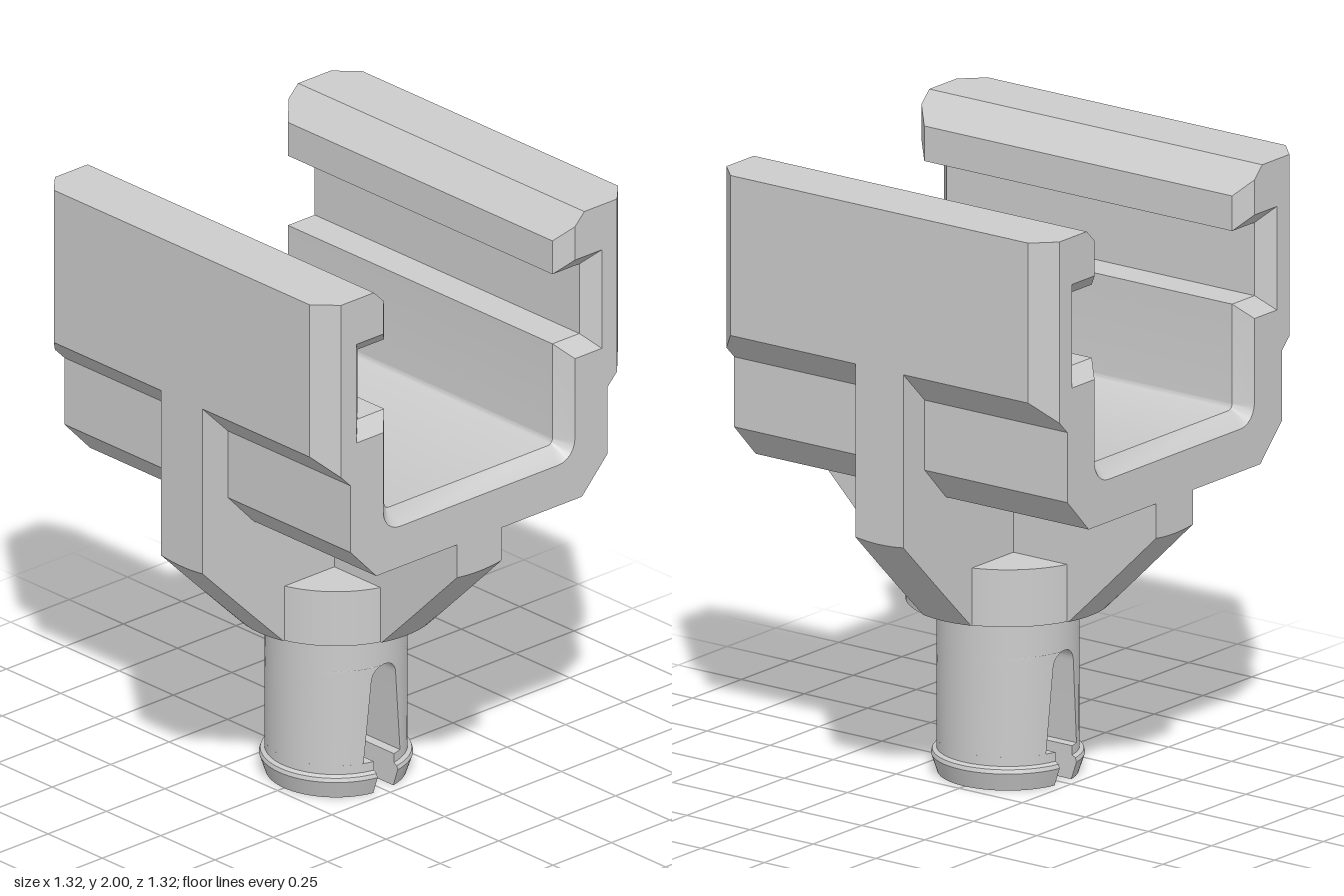
import * as THREE from 'three';
import { toCreasedNormals } from 'three/addons/utils/BufferGeometryUtils.js';

const material = new THREE.MeshStandardMaterial({ color: 0xcccccc });

// Skins counter-clockwise [x, y] rings placed at increasing z, with flat end caps.
function loft(rings, zs) {
  const n = rings[0].length;
  const positions = [], index = [];
  rings.forEach((ring, k) => ring.forEach(([x, y]) => positions.push(x, y, zs[k])));
  for (let k = 0; k < rings.length - 1; k++) {
    for (let i = 0; i < n; i++) {
      const a = k * n + i, b = k * n + (i + 1) % n;
      index.push(a, b, b + n, a, b + n, a + n);
    }
  }
  const cap = (k, flip) => {
    const outline = rings[k].map(([x, y]) => new THREE.Vector2(x, y));
    for (const [a, b, c] of THREE.ShapeUtils.triangulateShape(outline, [])) {
      index.push(k * n + a, k * n + (flip ? c : b), k * n + (flip ? b : c));
    }
  };
  cap(0, true);
  cap(rings.length - 1, false);
  const geometry = new THREE.BufferGeometry();
  geometry.setAttribute('position', new THREE.Float32BufferAttribute(positions, 3));
  geometry.setIndex(index);
  return toCreasedNormals(geometry, 0.5);
}

// Completes a right-hand half outline with its mirror image.
const mirrored = (half) => [...half, ...half.map(([x, y]) => [-x, y]).reverse()];

// Channel section: d widens the opening, c trims the outer walls.
function channelRing(d, c) {
  const half = [
    [0.44, 1.02], [0.55, 1.135], [0.55, 1.365], [0.66 - c, 1.475 - c], [0.66 - c, 2],
    [0.45, 2], [0.36 + d, 1.91 + d], [0.36 + d, 1.795 + d], [0.475 + d, 1.795 + d],
    [0.475 + d, 1.555 - d], [0.36 + d, 1.555 - d],
  ];
  for (let i = 0; i <= 6; i++) {
    const a = (i / 6) * Math.PI / 2;
    half.push([0.34 + (0.02 + d) * Math.cos(a), 1.23 - (0.02 + d) * Math.sin(a)]);
  }
  return mirrored(half);
}

// Rib whose lower ends follow a 45 degree cone; top is the right half of its upper edge.
function ribGeometry(top) {
  const rings = [], zs = [], halfWidth = 0.095;
  for (let k = 0; k <= 8; k++) {
    const w = halfWidth * (k / 4 - 1);
    const yEnd = Math.hypot(0.66, w) + 0.24;
    const half = [];
    for (let i = 0; i <= 5; i++) {
      const y = 0.567 + (yEnd - 0.567) * i / 5;
      half.push([Math.sqrt((y - 0.24) ** 2 - w * w), y]);
    }
    rings.push(mirrored([...half, ...top]));
    zs.push(w);
  }
  return loft(rings, zs);
}

// Half of a round section of radius r, cut flat at distance s from the middle.
function halfDisc(r, s) {
  const limit = Math.acos(s / r), ring = [];
  for (let i = 0; i <= 32; i++) {
    const a = limit * (i / 16 - 1);
    ring.push([r * Math.cos(a), r * Math.sin(a)]);
  }
  return ring;
}

export function createModel() {
  const model = new THREE.Group();
  const add = (name, geometry, parent = model) => {
    const mesh = new THREE.Mesh(geometry, material);
    mesh.name = name;
    parent.add(mesh);
    return mesh;
  };

  // U-shaped channel with chamfered ends
  const ends = [[0.66, 0.05, 0.07], [0.61, 0, 0.02], [0.59, 0, 0]];
  const stations = [
    ...ends.map(([z, d, c]) => [-z, d, c]),
    ...[...ends].reverse(),
  ];
  add('channel', loft(stations.map(([, d, c]) => channelRing(d, c)), stations.map(([z]) => z)));

  // Crossed ribs below the channel
  add('sideRib', ribGeometry([
    [0.66, 1.475], [0.6, 1.47], [0.5, 1.4], [0.5, 1.15], [0.4, 1.1],
  ]));
  add('lengthwiseRib', ribGeometry([[0.66, 1.02]])).rotation.y = Math.PI / 2;

  // Round collar where the ribs meet the pin
  add('collar', new THREE.CylinderGeometry(0.322, 0.322, 0.188, 64)).position.y = 0.661;

  // Solid top of the pin
  add('pinShank', new THREE.CylinderGeometry(0.225, 0.225, 0.14, 64)).position.y = 0.505;

  // Split snap prongs: height, radius, half gap
  const levels = [
    [0, 0.222, 0.043], [0.06, 0.242, 0.043], [0.073, 0.238, 0.043], [0.08, 0.225, 0.043],
    [0.11, 0.225, 0.043], [0.11, 0.225, 0.078],
  ];
  for (let i = 0; i <= 6; i++) {
    const a = (i / 6) * Math.PI / 2;
    levels.push([0.385 + 0.05 * Math.sin(a), 0.225, 0.052 * Math.cos(a)]);
  }
  const prong = loft(levels.map(([, r, s]) => halfDisc(r, s)), levels.map(([y]) => y));
  prong.rotateX(-Math.PI / 2);
  const prongs = new THREE.Group();
  prongs.name = 'snapProngs';
  add('leftProng', prong, prongs);
  add('rightProng', prong, prongs).rotation.y = Math.PI;
  model.add(prongs);

  return model;
}
